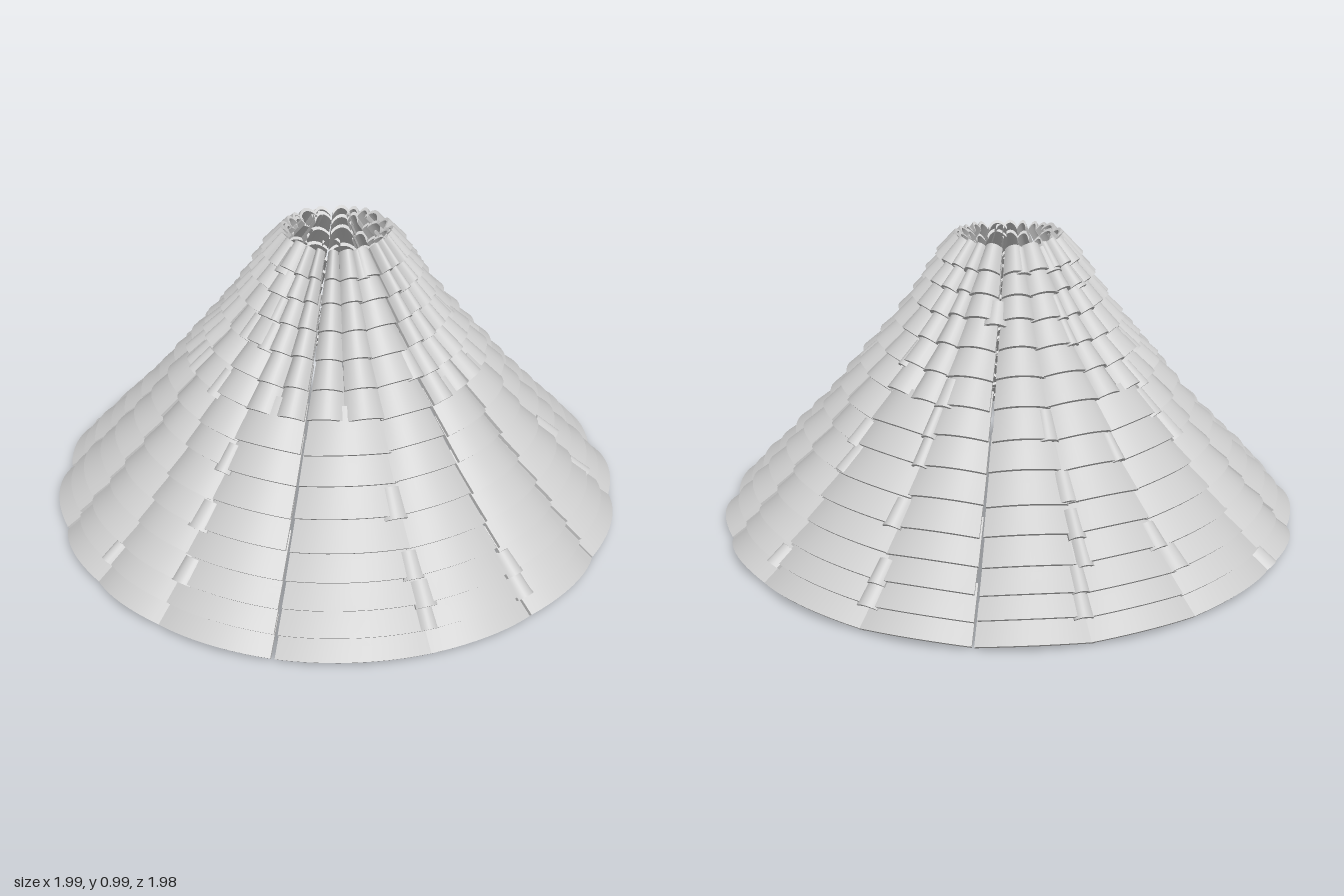
import * as THREE from 'three';
import { mergeGeometries } from 'three/addons/utils/BufferGeometryUtils.js';

// Height and crest radius of each course's lower edge, top rim first
const PROFILE = [
  [1.0, 0.195], [0.92, 0.25], [0.855, 0.293], [0.785, 0.338], [0.71, 0.392], [0.635, 0.455],
  [0.56, 0.518], [0.48, 0.585], [0.405, 0.645], [0.33, 0.715], [0.26, 0.782], [0.195, 0.842],
  [0.135, 0.902], [0.08, 0.952], [0.028, 1.0],
];
// Angles, in degrees from the front, of the seams between tile columns
const SEAMS = [3, 31, 52, 74, 96, 115, 135, 155, 180, 200, 220, 240, 264, 282, 304, 323, 340];
const THICK = 0.012, STEP = 0.016;

let seed = 7;
const rand = () => {
  seed = (seed * 16807) % 2147483647;
  return seed / 2147483647;
};

// Point on the roof profile at a fractional course number
function profileAt(t) {
  const i = Math.max(0, Math.min(PROFILE.length - 2, Math.floor(t)));
  const f = t - i, a = PROFILE[i], b = PROFILE[i + 1];
  return [a[0] + (b[0] - a[0]) * f, a[1] + (b[1] - a[1]) * f];
}

// One arched tile: a thin box bent over the cone, its upper end tucked under the course above
function tile(course, angle, halfAngle, { length = 1, arch = 0.026, lift = 0, drop = 0 } = {}) {
  const g = new THREE.BoxGeometry(2, 1, 1, 10, 1, 2);
  const p = g.attributes.position;
  for (let i = 0; i < p.count; i++) {
    const u = p.getX(i);
    const up = (0.5 - p.getZ(i)) * length;
    const [y, r] = profileAt(course + drop - up);
    const off = lift - arch * u * u - STEP * up + (p.getY(i) - 0.5) * THICK;
    const a = angle + u * halfAngle, rad = r + 0.68 * off;
    p.setXYZ(i, Math.sin(a) * rad, y + 0.73 * off, Math.cos(a) * rad);
  }
  g.computeVertexNormals();
  return g;
}

export function createModel() {
  const roof = new THREE.Group();
  roof.name = 'conicalTiledRoof';
  const material = new THREE.MeshStandardMaterial({ color: 0xcccccc, side: THREE.DoubleSide });
  const rad = THREE.MathUtils.degToRad;
  const last = PROFILE.length - 1;

  // Seams that stay open and seams that overlap
  const gaps = SEAMS.map(() => (rand() < 0.55 ? 0.006 : -0.008));

  for (let course = 1; course <= last; course++) {
    const tiles = [];
    const r = PROFILE[course][1];

    SEAMS.forEach((start, k) => {
      const next = (k + 1) % SEAMS.length;
      const end = SEAMS[next] + (next === 0 ? 360 : 0);
      // Wide columns are split into two narrow tiles near the top
      const parts = course < 7 && end - start >= 22 ? 2 : 1;
      for (let j = 0; j < parts; j++) {
        const a0 = rad(start + ((end - start) * j) / parts) + (j === 0 ? gaps[k] / r : 0);
        const a1 = rad(start + ((end - start) * (j + 1)) / parts) - (j === parts - 1 ? gaps[next] / r : 0);
        const half = (a1 - a0) / 2 + ((rand() - 0.5) * 0.006) / r;
        tiles.push(tile(course, (a0 + a1) / 2, half, {
          length: Math.min(course, 1.2 + rand() * 0.8),
          lift: -rand() * 0.004,
          drop: course < last ? (rand() - 0.5) * 0.1 : 0,
        }));
      }
    });

    // Small filler tiles laid over some of the seams
    SEAMS.forEach((seam, k) => {
      if (gaps[k] > 0 && rand() > 0.12 || rand() > 0.4) return;
      tiles.push(tile(course, rad(seam) + ((rand() - 0.5) * 0.05) / r, (0.025 + rand() * 0.015) / r, {
        length: 1, arch: 0.018, lift: -0.006, drop: course < last ? rand() * 0.2 : 0,
      }));
    });

    const mesh = new THREE.Mesh(mergeGeometries(tiles), material);
    mesh.name = `tileCourse${course}`;
    roof.add(mesh);
  }
  return roof;
}
